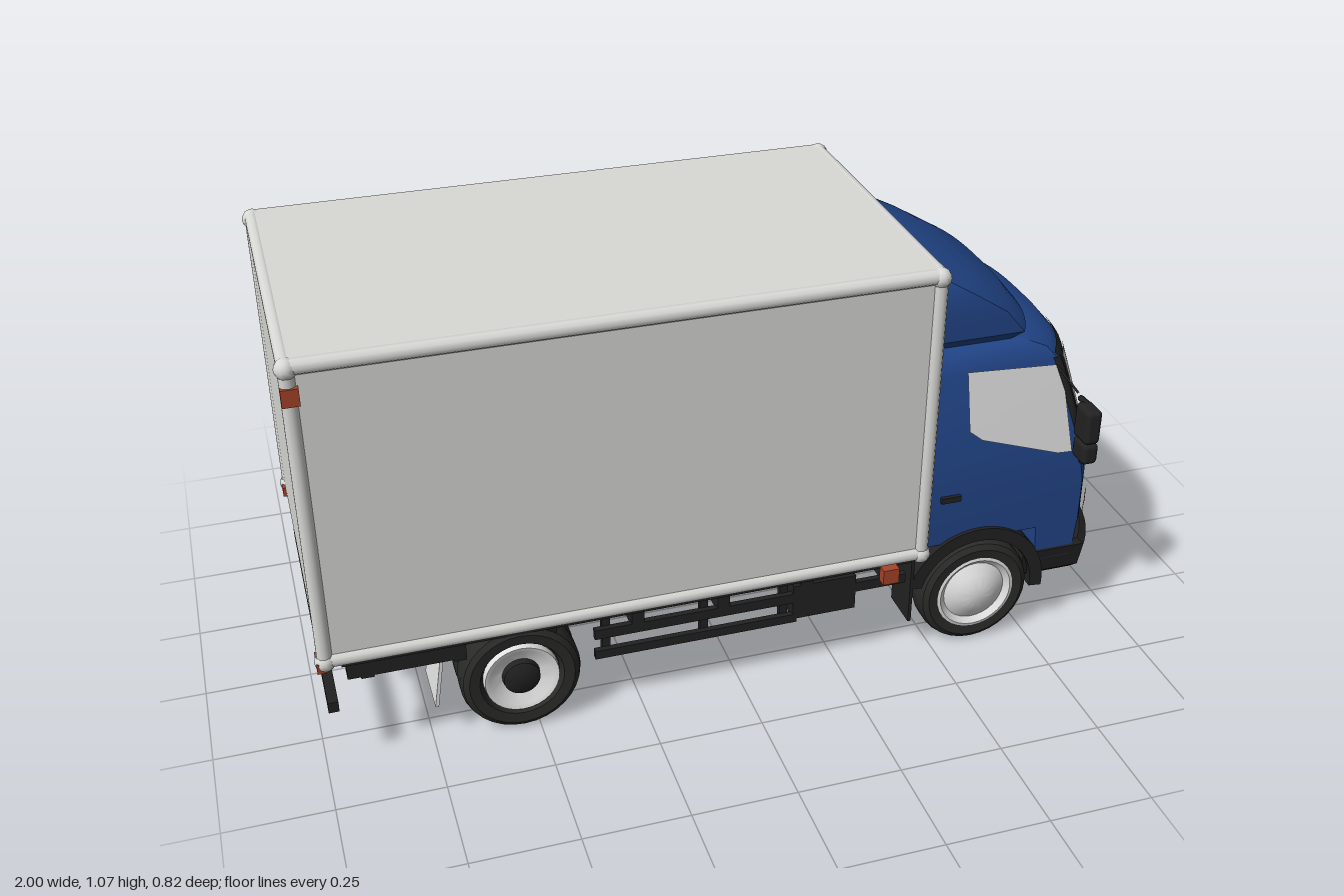
import * as THREE from 'three';
import { toCreasedNormals } from 'three/addons/utils/BufferGeometryUtils.js';
import { RoundedBoxGeometry } from 'three/addons/geometries/RoundedBoxGeometry.js';

const mat = (name, color) => new THREE.MeshStandardMaterial({ name, color });

// Body levels: [y, back x, front x, half width, how far the front corners sweep back]
const CAB = [
  [0.30, 0.47, 0.965, 0.333, 0.085], [0.42, 0.47, 0.963, 0.335, 0.085], [0.52, 0.47, 0.94, 0.332, 0.08],
  [0.75, 0.475, 0.865, 0.302, 0.07], [0.785, 0.48, 0.835, 0.29, 0.07], [0.805, 0.49, 0.78, 0.27, 0.07],
  [0.815, 0.5, 0.7, 0.24, 0.06],
];
const NOSE = [[0.2, 0.775, 0.958, 0.33, 0.085], [0.31, 0.765, 0.965, 0.333, 0.085]];
const FAIRING = [
  [0.805, 0.46, 0.74, 0.265, 0.06], [0.83, 0.455, 0.765, 0.285, 0.06], [0.89, 0.45, 0.715, 0.287, 0.06],
  [0.945, 0.45, 0.62, 0.283, 0.05], [0.985, 0.45, 0.54, 0.268, 0.04], [1.008, 0.45, 0.47, 0.245, 0.015],
];
const BUMPER = [
  [0.145, 0.75, 0.965, 0.31, 0.08], [0.16, 0.74, 0.985, 0.325, 0.085],
  [0.225, 0.74, 0.992, 0.333, 0.085], [0.24, 0.75, 0.975, 0.325, 0.085],
];

function levelAt(levels, y) {
  let i = 0;
  while (i < levels.length - 2 && y > levels[i + 1][0]) i++;
  const a = levels[i], b = levels[i + 1];
  const t = THREE.MathUtils.clamp((y - a[0]) / (b[0] - a[0]), 0, 1);
  return a.map((v, k) => v + (b[k] - v) * t);
}

function frontX(levels, y, z) {
  const [, , xf, w, d] = levelAt(levels, y);
  return xf - d * Math.min(1, Math.abs(z / w)) ** 3;
}

function geometry(pos, idx, crease = 0.6) {
  const g = new THREE.BufferGeometry();
  g.setAttribute('position', new THREE.Float32BufferAttribute(pos, 3));
  g.setIndex(idx);
  return toCreasedNormals(g.toNonIndexed(), crease);
}

// Closed shell through plan outlines with a bowed front
function loft(levels, n = 24) {
  const pos = [], idx = [], m = n + 3;
  for (const [y, xb, xf, w, d] of levels) {
    pos.push(xb, y, -w);
    for (let i = 0; i <= n; i++) {
      const s = Math.sin((i / n - 0.5) * Math.PI);
      pos.push(xf - d * Math.abs(s) ** 3, y, w * s);
    }
    pos.push(xb, y, w);
  }
  for (let r = 0; r < levels.length - 1; r++)
    for (let i = 0; i < m; i++) {
      const a = r * m + i, b = r * m + (i + 1) % m;
      idx.push(a, a + m, b, b, a + m, b + m);
    }
  [0, levels.length - 1].forEach((r, top) => {
    const c = pos.length / 3, [y, xb, xf] = levels[r];
    pos.push((xb + xf) / 2, y, 0);
    for (let i = 0; i < m; i++) {
      const a = r * m + i, b = r * m + (i + 1) % m;
      idx.push(c, top ? b : a, top ? a : b);
    }
  });
  return geometry(pos, idx);
}

// Thin panel following the bowed front; corners are [z, y]: low-z bottom, high-z bottom, high-z top, low-z top
function frontPanel(levels, q, off, n = 16) {
  const pos = [], idx = [];
  for (let j = 0; j <= n; j++)
    for (let i = 0; i <= n; i++) {
      const u = i / n, v = j / n;
      const [z, y] = [0, 1].map(k => (q[0][k] * (1 - u) + q[1][k] * u) * (1 - v) + (q[3][k] * (1 - u) + q[2][k] * u) * v);
      pos.push(frontX(levels, y, z) + off, y, z);
      if (i < n && j < n) {
        const a = j * (n + 1) + i, c = a + n + 1;
        idx.push(a, c, a + 1, a + 1, c, c + 1);
      }
    }
  return geometry(pos, idx, 1);
}
const mirrorPanel = q => [q[1], q[0], q[3], q[2]].map(([z, y]) => [-z, y]);

export function createModel() {
  const root = new THREE.Group();
  root.name = 'boxTruck';
  const blue = mat('cabBlue', 0x22468a), dark = mat('darkTrim', 0x222222), black = mat('tyreBlack', 0x2a2a29);
  const white = mat('cargoWhite', 0xd9d9d6), pale = mat('glassPale', 0xe2e3e2), amber = mat('lampAmber', 0xa8432a);
  const glass = mat('sideGlass', 0xe0e1e0);
  glass.side = THREE.DoubleSide;

  const add = (name, geo, m, x = 0, y = 0, z = 0, parent = root) => {
    const mesh = new THREE.Mesh(geo, m);
    mesh.name = name;
    mesh.position.set(x, y, z);
    parent.add(mesh);
    return mesh;
  };
  // Box given by its limits
  const box = (name, m, x0, x1, y0, y1, z0, z1) => add(name, new THREE.BoxGeometry(x1 - x0, y1 - y0, z1 - z0), m,
    (x0 + x1) / 2, (y0 + y1) / 2, (z0 + z1) / 2);
  const sideBox = (name, m, x0, x1, y0, y1, z0, z1) => {
    box(name, m, x0, x1, y0, y1, z0, z1);
    box(name, m, x0, x1, y0, y1, -z1, -z0);
  };
  const tube = (name, pts, r, m) => add(name, new THREE.TubeGeometry(
    new THREE.CatmullRomCurve3(pts.map(p => new THREE.Vector3(...p))), 12, r, 6), m);

  // Cargo box with edge rails and rounded corner caps
  add('cargoBox', new RoundedBoxGeometry(1.43, 0.765, 0.78, 3, 0.015), white, -0.272, 0.6905, 0);
  const rail = (len, axis, x, y, z) => {
    const r = add('edgeRail', new THREE.CylinderGeometry(0.018, 0.018, len, 10), white, x, y, z);
    if (axis === 'x') r.rotation.z = Math.PI / 2;
    if (axis === 'z') r.rotation.x = Math.PI / 2;
  };
  for (const x of [-0.975, 0.433]) {
    rail(0.77, 'z', x, 1.057, 0);
    for (const z of [-0.383, 0.383]) {
      rail(0.73, 'y', x, 0.69, z);
      for (const y of [0.325, 1.052])
        add('cornerCap', new THREE.SphereGeometry(0.024, 12, 8), white, x, y, z);
    }
  }
  for (const z of [-0.384, 0.384]) {
    rail(1.41, 'x', -0.27, 1.056, z);
    rail(1.41, 'x', -0.27, 0.328, z);
  }
  sideBox('rearTopMarker', amber, -0.992, -0.955, 0.975, 1.015, 0.385, 0.404);
  sideBox('rearLowMarker', amber, -0.995, -0.975, 0.305, 0.33, 0.35, 0.4);
  sideBox('sideMarker', amber, 0.335, 0.375, 0.262, 0.302, 0.375, 0.4);

  // Cab shell and roof fairing
  add('cab', loft(CAB), blue);
  add('cabNose', loft(NOSE), blue);
  add('roofFairing', loft(FAIRING), blue);
  add('bumper', loft(BUMPER), dark);
  box('cabFloor', dark, 0.46, 0.88, 0.2, 0.302, -0.235, 0.235);
  box('underTray', dark, 0.72, 0.87, 0.14, 0.2, -0.28, 0.28);

  // Windscreen, lamps and grille
  add('windscreenSurround', frontPanel(CAB, [[-0.305, 0.5], [0.305, 0.5], [0.295, 0.768], [-0.295, 0.768]], 0.004), dark);
  add('windscreen', frontPanel(CAB, [[-0.288, 0.53], [0.288, 0.53], [0.284, 0.752], [-0.284, 0.752]], 0.008), pale);
  const lowFront = [NOSE[0], ...CAB];
  add('grille', frontPanel(lowFront, [[-0.195, 0.255], [0.195, 0.255], [0.225, 0.343], [-0.225, 0.343]], 0.007), dark);
  add('lowerTrim', frontPanel(lowFront, [[-0.32, 0.238], [0.32, 0.238], [0.32, 0.258], [-0.32, 0.258]], 0.005), dark);
  for (const y of [0.275, 0.3, 0.325])
    add('grilleBar', frontPanel(lowFront, [[-0.13, y - 0.004], [0.13, y - 0.004], [0.13, y + 0.004], [-0.13, y + 0.004]], 0.013), black);
  const headlight = [[0.19, 0.257], [0.325, 0.257], [0.328, 0.338], [0.222, 0.343]];
  const indicator = [[0.212, 0.335], [0.33, 0.338], [0.331, 0.385], [0.31, 0.384]];
  const foglight = [[0.23, 0.192], [0.268, 0.192], [0.268, 0.206], [0.23, 0.206]];
  for (const mirrored of [false, true]) {
    const q = p => mirrored ? mirrorPanel(p) : p;
    add('headlight', frontPanel(lowFront, q(headlight), 0.009), pale);
    add('indicator', frontPanel(lowFront, q(indicator), 0.011), amber);
    add('foglight', frontPanel(BUMPER, q(foglight), 0.004), pale);
  }
  add('numberPlate', frontPanel(BUMPER, [[-0.092, 0.166], [0.092, 0.166], [0.092, 0.226], [-0.092, 0.226]], 0.006), pale);

  // Wipers
  for (const z of [0.16, -0.08])
    tube('wiper', [[z, 0.535], [z - 0.08, 0.508], [z - 0.15, 0.485]].map(([pz, y]) => [frontX(CAB, y, pz) + 0.012, y, pz]), 0.005, dark);

  // Door windows, pillar trim, handles, wheel arches and mirrors
  const windowPts = [[0.558, 0.755], [0.785, 0.742], [0.812, 0.67], [0.838, 0.51], [0.8, 0.512], [0.6, 0.578], [0.566, 0.605]];
  const sidePanel = (name, pts, m, side, off) => {
    const g = new THREE.ShapeGeometry(new THREE.Shape(pts.map(p => new THREE.Vector2(...p))));
    const p = g.attributes.position;
    for (let i = 0; i < p.count; i++) p.setZ(i, side * (levelAt(CAB, p.getY(i))[3] + off));
    g.computeVertexNormals();
    add(name, g, m);
  };
  const archShape = new THREE.Shape();
  archShape.absarc(0.61, 0.148, 0.183, -0.1, Math.PI * 0.92, false);
  archShape.absarc(0.61, 0.148, 0.15, Math.PI * 0.92, -0.1, true);
  for (const s of [1, -1]) {
    sidePanel('doorWindow', windowPts, glass, s, 0.005);
    tube('pillarTrim', [[0.51, 0.325], [0.64, 0.311], [0.76, 0.295]].map(([y, z]) => [frontX(CAB, y, z), y, s * z]), 0.011, dark);
    box('doorHandle', dark, 0.5, 0.55, 0.425, 0.44, s * 0.338 - 0.006, s * 0.338 + 0.006);
    add('wheelArch', new THREE.ExtrudeGeometry(archShape, { depth: 0.1, bevelEnabled: false, curveSegments: 20 }), dark,
      0, 0, s > 0 ? 0.243 : -0.343);
    add('mirror', new RoundedBoxGeometry(0.04, 0.09, 0.068, 2, 0.012), dark, 0.85, 0.607, s * 0.372);
    add('lowerMirror', new RoundedBoxGeometry(0.04, 0.055, 0.062, 2, 0.012), dark, 0.85, 0.535, s * 0.375);
    tube('mirrorArm', [[0.86, 0.64, s * 0.31], [0.852, 0.645, s * 0.36], [0.855, 0.55, s * 0.365], [0.865, 0.49, s * 0.36], [0.87, 0.475, s * 0.325]], 0.008, dark);
  }
  tube('aerial', [[0.79, 0.735, 0.3], [0.79, 0.728, 0.36], [0.79, 0.72, 0.415]], 0.003, dark);

  // Wheels: lathe profiles about the axle, outer face toward +y before turning
  const lathe = pts => toCreasedNormals(new THREE.LatheGeometry(pts.map(p => new THREE.Vector2(...p)), 32).toNonIndexed(), 0.6);
  const tyre = lathe([[0.02, -0.04], [0.12, -0.043], [0.138, -0.034], [0.143, -0.02], [0.143, 0.02], [0.138, 0.034], [0.125, 0.043], [0.1, 0.04], [0.092, 0.02], [0, 0.02]]);
  const frontHub = lathe([[0.102, 0.022], [0.102, 0.04], [0.094, 0.042], [0.08, 0.03], [0.055, 0.045], [0.03, 0.056], [0, 0.058]]);
  const rearRim = lathe([[0.09, 0.022], [0.088, 0.041], [0.076, 0.038], [0.05, 0.022], [0, 0.022]]);
  const rearHub = lathe([[0.045, 0.02], [0.043, 0.038], [0.028, 0.045], [0, 0.046]]);
  for (const s of [1, -1])
    for (const [name, x, zs] of [['frontWheel', 0.61, [0.305]], ['rearWheel', -0.537, [0.308, 0.234]]])
      zs.forEach((z, k) => {
        const wheel = new THREE.Group();
        wheel.name = name;
        wheel.position.set(x, 0.146, s * z);
        wheel.rotation.x = s * Math.PI / 2;
        root.add(wheel);
        add('tyre', tyre, black, 0, 0, 0, wheel);
        if (k) return;
        if (x > 0) add('hub', frontHub, pale, 0, 0, 0, wheel);
        else {
          add('rim', rearRim, pale, 0, 0, 0, wheel);
          add('hub', rearHub, dark, 0, 0, 0, wheel);
        }
      });

  // Chassis: rails, cross members, axles and running gear
  box('subFloor', dark, -0.94, 0.43, 0.275, 0.31, -0.35, 0.35);
  sideBox('chassisRail', dark, -0.93, 0.75, 0.205, 0.28, 0.12, 0.16);
  for (let x = -0.9; x < 0.45; x += 0.21) box('crossMember', dark, x, x + 0.03, 0.225, 0.28, -0.34, 0.34);
  for (const x of [-0.537, 0.61]) {
    const axle = add('axle', new THREE.CylinderGeometry(0.025, 0.025, 0.56, 10), dark, x, 0.146, 0);
    axle.rotation.x = Math.PI / 2;
    sideBox('leafSpring', dark, x - 0.17, x + 0.17, 0.17, 0.19, 0.125, 0.16);
  }
  add('differential', new THREE.SphereGeometry(0.06, 14, 10), dark, -0.537, 0.152, 0);
  tube('driveShaft', [[0.35, 0.2, 0], [-0.1, 0.18, 0], [-0.52, 0.155, 0]], 0.018, dark);
  box('engine', dark, 0.36, 0.72, 0.125, 0.22, -0.1, 0.1);
  sideBox('toolBox', dark, 0.13, 0.29, 0.165, 0.26, 0.24, 0.34);
  sideBox('sideGuardLow', dark, -0.36, 0.14, 0.155, 0.178, 0.325, 0.34);
  sideBox('sideGuardHigh', dark, -0.36, 0.42, 0.212, 0.238, 0.325, 0.34);
  for (const x of [-0.34, -0.1, 0.1]) sideBox('guardPost', dark, x, x + 0.02, 0.155, 0.28, 0.31, 0.327);
  sideBox('rearSill', dark, -0.93, -0.68, 0.23, 0.28, 0.3, 0.34);
  sideBox('frontMudflap', dark, 0.432, 0.44, 0.095, 0.28, 0.24, 0.345);
  for (const s of [1, -1]) {
    const flap = box('rearMudflap', pale, -0.73, -0.722, 0.1, 0.25, s * 0.265 - 0.07, s * 0.265 + 0.07);
    flap.rotation.z = -0.15;
  }
  box('rearGuard', dark, -0.982, -0.958, 0.17, 0.197, -0.37, 0.37);
  return root;
}
